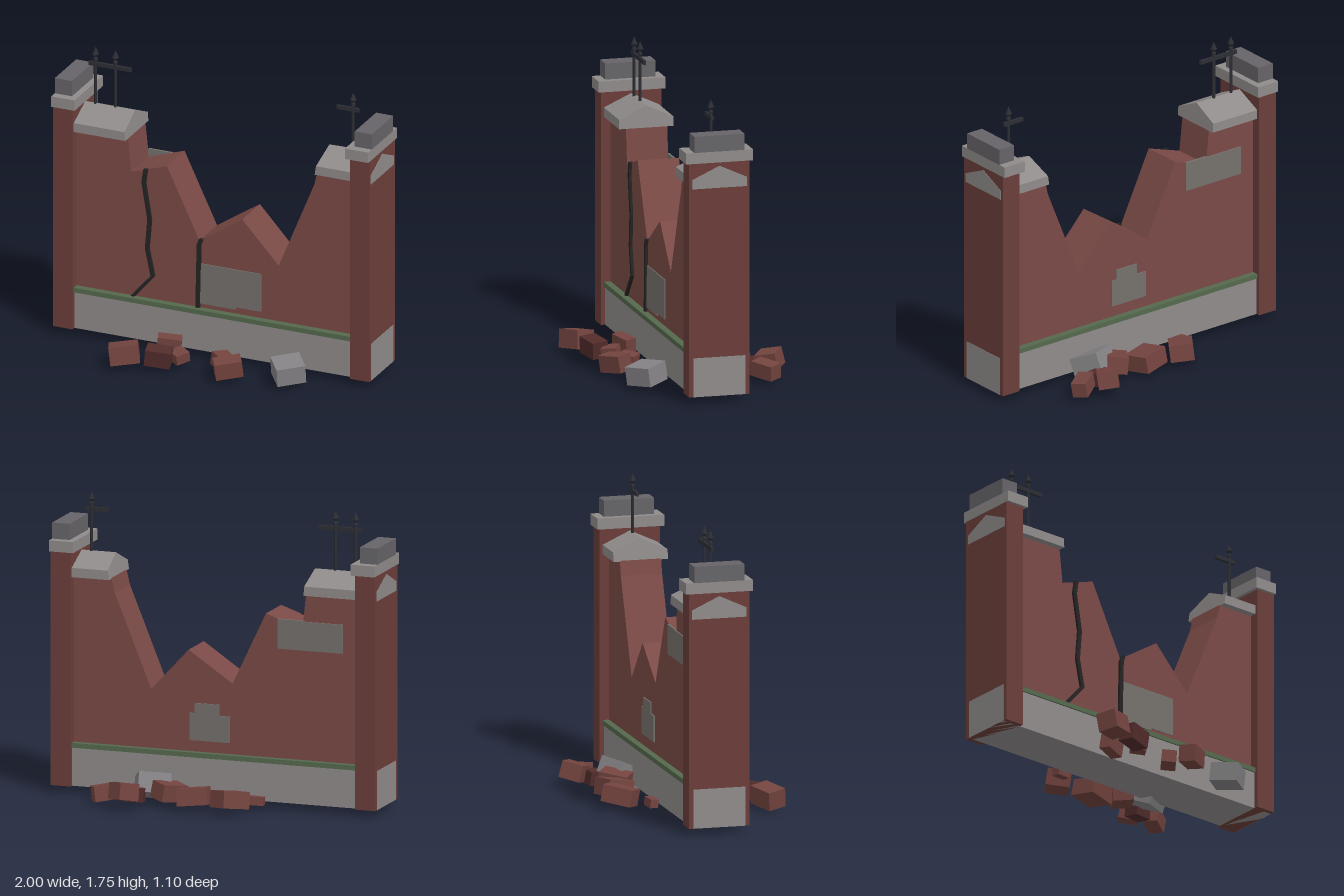
import * as THREE from 'three';

const CZ = -0.01; // middle plane of the wall

const mat = (color) => new THREE.MeshStandardMaterial({ color, flatShading: true, roughness: 0.9 });
const M = {
  brick: mat(0x7a4a46), pillar: mat(0x6b3e3a), stone: mat(0x908b8b), darkStone: mat(0x666468),
  moss: mat(0x55694d), plaster: mat(0x75706c), crack: mat(0x252323), iron: mat(0x2c2e34),
  rubble: mat(0x74443f), rubbleDark: mat(0x522c2b), rubbleStone: mat(0x858385),
};

function add(parent, name, geo, material, x = 0, y = 0, z = 0) {
  const m = new THREE.Mesh(geo, material);
  m.name = name;
  m.position.set(x, y, z);
  parent.add(m);
  return m;
}

// Box given by its x and y limits and its depth about the wall's middle plane
function block(parent, name, material, x0, x1, y0, y1, depth) {
  const geo = new THREE.BoxGeometry(x1 - x0, y1 - y0, depth);
  return add(parent, name, geo, material, (x0 + x1) / 2, (y0 + y1) / 2, CZ);
}

// Outline in x, y extruded from z0 to z1
function slab(parent, name, material, pts, z0, z1) {
  const shape = new THREE.Shape(pts.map(([x, y]) => new THREE.Vector2(x, y)));
  const geo = new THREE.ExtrudeGeometry(shape, { depth: z1 - z0, bevelEnabled: false });
  return add(parent, name, geo, material, 0, 0, z0);
}

// Gabled coping whose broken end leans from xLow (bottom) to xHigh (ridge)
function coping(parent, name, side, xLow, xHigh) {
  const profile = [[-0.163, 1.28], [0.163, 1.28], [0.163, 1.335], [0, 1.41], [-0.163, 1.335]];
  const shape = new THREE.Shape(profile.map(([z, y]) => new THREE.Vector2(-z, y)));
  const geo = new THREE.ExtrudeGeometry(shape, { depth: 1, bevelEnabled: false });
  geo.rotateY(Math.PI / 2);
  const p = geo.attributes.position;
  for (let i = 0; i < p.count; i++) {
    const end = xLow + (xHigh - xLow) * (p.getY(i) - 1.28) / 0.13;
    const outer = side < 0 ? p.getX(i) < 0.5 : p.getX(i) > 0.5;
    p.setX(i, outer ? side : end);
  }
  geo.computeVertexNormals();
  add(parent, name, geo, M.stone, 0, 0, CZ);
}

// Jagged ribbon standing slightly proud of the wall
function crack(parent, name, pts, width) {
  const left = pts.map(([x, y]) => [x - width / 2, y]);
  const right = pts.map(([x, y]) => [x + width / 2, y]).reverse();
  slab(parent, name, M.crack, [...left, ...right], 0.105, 0.128);
}

// Iron post with a spear point
function spear(parent, x) {
  const g = new THREE.Group();
  g.name = 'spear';
  g.position.set(x, 0, CZ);
  add(g, 'post', new THREE.CylinderGeometry(0.009, 0.009, 0.36, 6), M.iron, 0, 1.52, 0);
  const tip = [[0, 1.675], [0.014, 1.68], [0.014, 1.69], [0.007, 1.7], [0.02, 1.715], [0, 1.76]];
  add(g, 'spearPoint', new THREE.LatheGeometry(tip.map(([r, y]) => new THREE.Vector2(r, y)), 6), M.iron);
  parent.add(g);
}

export function createModel() {
  const root = new THREE.Group();
  root.name = 'ruinedWall';

  // Broken brick wall
  slab(root, 'wall', M.brick, [
    [-0.99, 0.06], [0.99, 0.06], [0.99, 1.3], [0.645, 1.285], [0.625, 1.2], [0.4, 0.65], [0.17, 0.9],
    [-0.1, 0.72], [-0.305, 1.15], [-0.53, 1.075], [-0.552, 1.285], [-0.99, 1.3],
  ], CZ - 0.125, CZ + 0.122);

  // Stone plinth with a mossy ledge
  block(root, 'plinth', M.stone, -1, 1, 0.05, 0.28, 0.31);
  block(root, 'mossLedge', M.moss, -0.88, 0.88, 0.276, 0.304, 0.328);

  // Coping left on both ends
  coping(root, 'copingRight', -1, -0.55, -0.56);
  coping(root, 'copingLeft', 1, 0.645, 0.665);

  // End pillars with two-step caps
  for (const s of [-1, 1]) {
    const g = new THREE.Group();
    g.name = s < 0 ? 'pillarRight' : 'pillarLeft';
    const part = (name, m, inner, outer, y0, y1, d) =>
      block(g, name, m, Math.min(s * inner, s * outer), Math.max(s * inner, s * outer), y0, y1, d);
    part('shaft', M.pillar, 0.875, 0.998, 0.05, 1.43, 0.362);
    part('cap', M.stone, 0.853, 1, 1.43, 1.495, 0.4);
    part('capTop', M.darkStone, 0.892, 1, 1.495, 1.59, 0.3);
    root.add(g);
  }

  // Patches of old plaster, one in front and two behind
  const front = CZ + 0.12, back = CZ - 0.12;
  slab(root, 'frontPatch', M.plaster,
    [[-0.095, 0.33], [0.13, 0.33], [0.13, 0.345], [0.29, 0.345], [0.29, 0.58], [-0.095, 0.58]], front, front + 0.008);
  slab(root, 'backPatchLow', M.plaster, [
    [-0.085, 0.37], [0.163, 0.37], [0.163, 0.53], [0.13, 0.53], [0.13, 0.59], [-0.02, 0.59], [-0.02, 0.525], [-0.085, 0.525],
  ], back - 0.013, back);
  slab(root, 'backPatchHigh', M.plaster,
    [[-0.78, 0.95], [-0.38, 0.95], [-0.38, 1.125], [-0.53, 1.125], [-0.53, 1.12], [-0.78, 1.12]], back - 0.013, back);

  // Cracks
  crack(root, 'longCrack',
    [[-0.435, 1.11], [-0.447, 1.03], [-0.41, 0.8], [-0.425, 0.62], [-0.39, 0.45], [-0.52, 0.3]], 0.025);
  crack(root, 'shortCrack', [[-0.085, 0.735], [-0.098, 0.7], [-0.107, 0.3]], 0.025);

  // Iron railing remains
  for (const x of [-0.81, -0.685, 0.815]) spear(root, x);
  block(root, 'railRight', M.iron, -0.85, -0.585, 1.643, 1.667, 0.016);
  block(root, 'railLeft', M.iron, 0.713, 0.85, 1.643, 1.667, 0.016);

  // Fallen rubble: x, y, z, length, height, width, turn, tilt x, tilt z, material
  const r = M.rubble, d = M.rubbleDark, s = M.rubbleStone;
  const rubble = [
    [-0.17, 0.09, -0.365, 0.18, 0.1, 0.14, 0.96, 0.12, 0.15, r],
    [0.065, 0.085, -0.335, 0.18, 0.1, 0.16, 0.23, 0.15, -0.08, r],
    [0.235, 0.09, -0.28, 0.17, 0.1, 0.12, 0.97, -0.1, 0.15, r],
    [0.36, 0.105, -0.215, 0.19, 0.12, 0.18, 0.5, 0.38, 0.1, s],
    [0.445, 0.11, -0.465, 0.13, 0.1, 0.12, 0.95, 0.15, 0.2, r],
    [0.42, 0.075, -0.36, 0.12, 0.08, 0.09, 0.2, 0.1, 0.05, d],
    [0.58, 0.085, -0.405, 0.15, 0.09, 0.09, 0.6, 0.12, -0.1, r],
    [-0.275, 0.06, -0.21, 0.09, 0.05, 0.05, 0.15, 0.08, 0.05, r],
    [-0.425, 0.09, 0.445, 0.17, 0.11, 0.12, 0.4, -0.12, 0.12, r],
    [-0.245, 0.09, 0.21, 0.14, 0.09, 0.07, 0.35, 0.1, -0.1, r],
    [-0.23, 0.085, 0.395, 0.15, 0.1, 0.1, 0.25, 0.08, -0.1, d],
    [-0.135, 0.075, 0.32, 0.09, 0.06, 0.09, 1.0, 0.1, 0.12, r],
    [0.12, 0.08, 0.285, 0.1, 0.08, 0.085, 0.9, 0.1, -0.12, r],
    [0.205, 0.09, 0.39, 0.16, 0.1, 0.1, 0.55, 0.1, 0.12, r],
    [0.545, 0.1, 0.3, 0.17, 0.11, 0.165, 0.65, 0.12, 0.08, s],
  ];
  const pile = new THREE.Group();
  pile.name = 'rubble';
  for (const [x, y, z, l, h, w, turn, tx, tz, m] of rubble) {
    const b = add(pile, m === s ? 'fallenStone' : 'fallenBrick', new THREE.BoxGeometry(l, h, w), m, x, y, z);
    b.rotation.set(tx, turn, tz, 'YXZ');
  }
  root.add(pile);
  return root;
}
